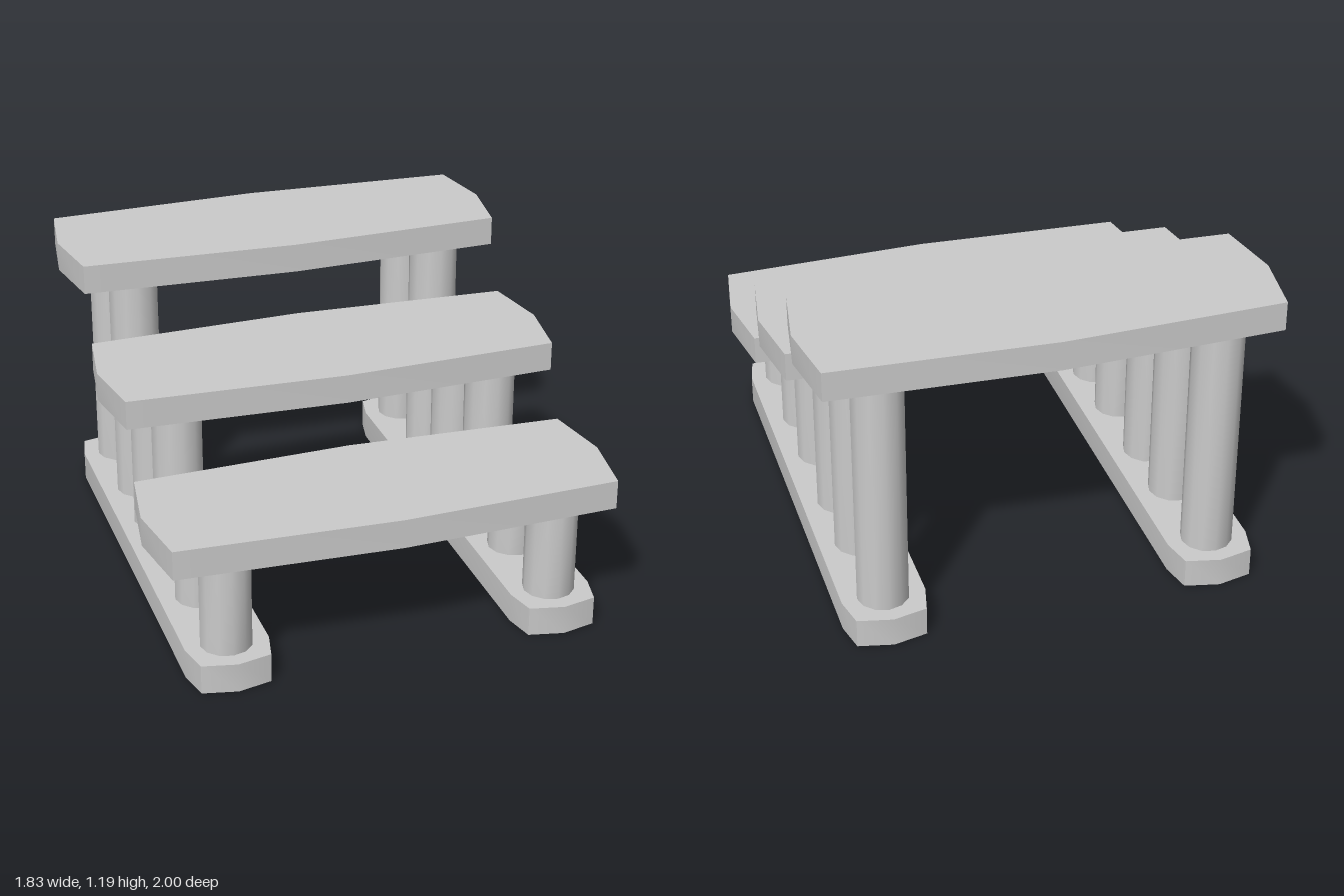
import * as THREE from 'three';
import { toCreasedNormals } from 'three/addons/utils/BufferGeometryUtils.js';

const material = new THREE.MeshStandardMaterial({ color: 0xcccccc });
const SLAB = 0.117; // thickness of treads and base rails

function addPart(group, name, geometry, x, y, z) {
  const mesh = new THREE.Mesh(toCreasedNormals(geometry, 0.6), material);
  mesh.name = name;
  mesh.position.set(x, y, z);
  group.add(mesh);
}

// Horizontal slab, symmetric in x and z, from the outline of one quarter
// (running from the +x axis round to the +z axis).
function slab(quarter) {
  const points = [];
  const add = (x, z) => {
    if (!points.some((p) => Math.hypot(p.x - x, p.y - z) < 1e-6)) points.push(new THREE.Vector2(x, z));
  };
  const back = [...quarter].reverse();
  quarter.forEach(([x, z]) => add(x, z));
  back.forEach(([x, z]) => add(-x, z));
  quarter.forEach(([x, z]) => add(-x, -z));
  back.forEach(([x, z]) => add(x, -z));
  const geometry = new THREE.ExtrudeGeometry(new THREE.Shape(points), { depth: SLAB, bevelEnabled: false });
  return geometry.rotateX(-Math.PI / 2);
}

export function createModel() {
  const group = new THREE.Group();
  group.name = 'steps';

  // Long base rails with blunt pointed ends
  const rail = slab([[0.162, 0.85], [0.135, 0.97], [0, 1]]);
  for (const side of [1, -1]) {
    addPart(group, side > 0 ? 'leftBaseRail' : 'rightBaseRail', rail, side * 0.652, 0, 0);
  }

  // Three treads, each on four round posts
  const tread = slab([[0.917, 0], [0.873, 0.284], [0, 0.321]]);
  const treads = [
    { name: 'lower', z: 0.655, y: 0.478 },
    { name: 'middle', z: 0, y: 0.774 },
    { name: 'upper', z: -0.657, y: 1.07 },
  ];
  for (const { name, z, y } of treads) {
    addPart(group, name + 'Tread', tread, 0, y, z);
    const height = y - SLAB;
    const post = new THREE.CylinderGeometry(0.101, 0.101, height, 12);
    for (const x of [-0.652, 0.652]) {
      for (const dz of [-0.18, 0.18]) {
        addPart(group, name + 'Post', post, x, SLAB + height / 2, z + dz);
      }
    }
  }
  return group;
}
